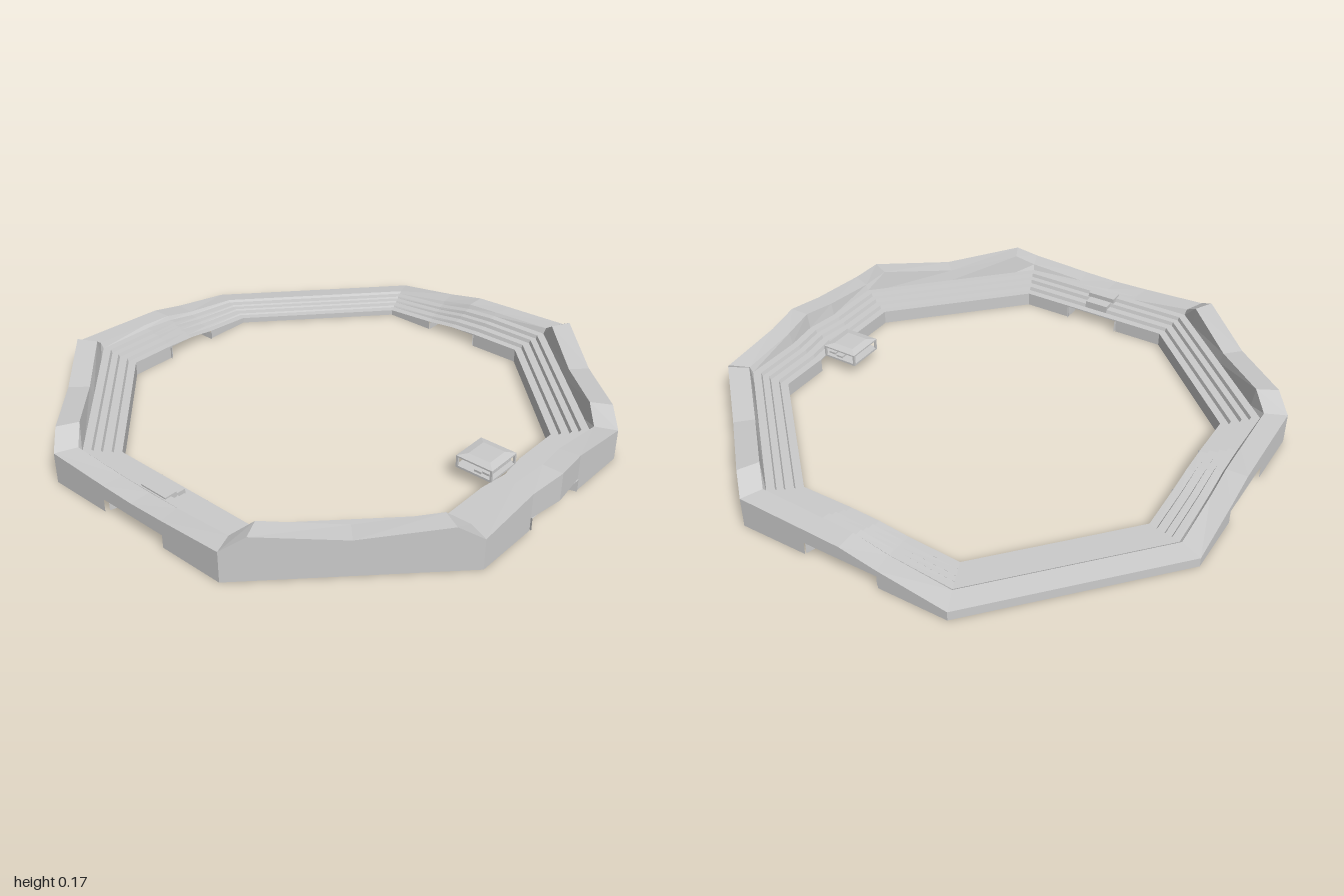
import * as THREE from 'three';

const material = new THREE.MeshStandardMaterial({ color: 0xcccccc, flatShading: true, side: THREE.DoubleSide });
const lerp = THREE.MathUtils.lerp;
const DOOR = 0.05; // clear height of the gateways

function add(parent, name, geometry, x = 0, y = 0, z = 0) {
  const mesh = new THREE.Mesh(geometry, material);
  mesh.name = name;
  mesh.position.set(x, y, z);
  parent.add(mesh);
  return mesh;
}

// Skins a list of cross-sections (arrays of [x, y, z]) with quads.
function skin(rows, closed) {
  const pos = [];
  const count = closed ? rows.length : rows.length - 1;
  for (let i = 0; i < count; i++) {
    const p = rows[i], q = rows[(i + 1) % rows.length];
    for (let j = 0; j < p.length - 1; j++) {
      pos.push(...p[j], ...q[j], ...q[j + 1], ...p[j], ...q[j + 1], ...p[j + 1]);
    }
  }
  const g = new THREE.BufferGeometry();
  g.setAttribute('position', new THREE.Float32BufferAttribute(pos, 3));
  g.computeVertexNormals();
  return g;
}

// Octagon corners, starting at the front right and running past the front.
const corners = [[-0.41, 0.98], [0.41, 0.98], [0.99, 0.4], [0.99, -0.43],
  [0.36, -1], [-0.42, -1], [-1, -0.41], [-1, 0.4]];

// Per side: [position along side, rim height, terrace height factor]
const bumpy = [[0, 0.12, 1], [0.11, 0.172, 1], [0.5, 0.14, 1], [0.89, 0.172, 1]];
const sides = [
  [[0, 0.12, 1], [0.32, 0.147, 1], [0.5, 0.16, 1], [0.68, 0.147, 1]],
  bumpy,
  [[0, 0.12, 1], [0.32, 0.11, 1], [0.5, 0.104, 0.9], [0.68, 0.075, 0.65]],
  [[0, 0.036, 0.4], [0.5, 0.036, 0.4]],
  [[0, 0.036, 0.4], [0.32, 0.075, 0.65], [0.5, 0.104, 0.9], [0.68, 0.11, 1]],
  bumpy,
  [[0, 0.12, 1], [0.32, 0.108, 1], [0.5, 0.104, 1], [0.68, 0.108, 1]],
  bumpy,
];

// Stepped seating, from the rim inwards: [radial scale, height]
const steps = [[0.91, 0.097], [0.88, 0.097], [0.875, 0.083], [0.85, 0.083],
  [0.845, 0.069], [0.815, 0.069], [0.81, 0.055], [0.78, 0.055]];

function section({ x, z, h, f }, bottom) {
  const at = (s, y) => [x * s, y, z * s];
  const crest = Math.max(h, 0.1 * f + 0.006);
  const lip = 0.055 * f;
  return [at(1, bottom), at(1, h), at(0.92, crest),
    ...steps.map(([s, y]) => at(s, y * f)), at(0.78, Math.min(bottom, lip))];
}

function arenaRing() {
  const stations = [];
  sides.forEach((side, i) => {
    const a = corners[i], b = corners[(i + 1) % 8];
    for (const [t, h, f] of side) {
      const z = lerp(a[1], b[1], t) + (i === 0 && t === 0.5 ? 0.02 : 0);
      // Even sides hold a gateway between their second and fourth stations
      const gate = i % 2 === 0 && (t === 0.32 || t === 0.5);
      stations.push({ x: lerp(a[0], b[0], t), z, h, f, gate });
    }
  });
  const pieces = [];
  stations.forEach((s, i) => {
    const bottom = s.gate ? DOOR : 0;
    const next = stations[(i + 1) % stations.length];
    pieces.push(skin([section(s, bottom), section(next, bottom)], false));
  });
  const all = pieces.flatMap((g) => Array.from(g.attributes.position.array));
  const g = new THREE.BufferGeometry();
  g.setAttribute('position', new THREE.Float32BufferAttribute(all, 3));
  g.computeVertexNormals();
  return g;
}

// Gateway passage: two gently bowed cheeks and a lintel, built facing +z.
function gateway(angle, offset, lowSide) {
  const group = new THREE.Group();
  group.name = 'gateway';
  for (const side of [-1, 1]) {
    const rows = [];
    for (let i = 0; i <= 6; i++) {
      const t = i / 6;
      const w = side * (lerp(0.145, 0.113, t) - 0.012 * Math.sin(Math.PI * t));
      const r = lerp(0.985, 0.772, t);
      const top = lerp(DOOR, side === lowSide ? 0.03 : DOOR, t);
      rows.push([[w + offset, 0, r], [w + offset, top, r]]);
    }
    add(group, 'gatewayCheek', skin(side > 0 ? rows : rows.reverse(), false));
  }
  const lintel = [[0.985, 0.145], [0.87, 0.125]].map(([r, w]) => [[w + offset, DOOR, r], [offset - w, DOOR, r]]);
  add(group, 'gatewayCeiling', skin(lintel, false));
  group.rotation.y = angle;
  return group;
}

// Small open viewing box projecting from the front stand
function viewingBox() {
  const group = new THREE.Group();
  group.name = 'viewingBox';
  add(group, 'boxFloor', new THREE.BoxGeometry(0.15, 0.008, 0.15), 0, 0.056, 0);
  for (const x of [-0.071, 0.071]) {
    for (const z of [-0.071, 0.071]) {
      add(group, 'boxPost', new THREE.BoxGeometry(0.008, 0.036, 0.008), x, 0.078, z);
    }
  }
  for (let i = 0; i < 2; i++) {
    add(group, 'boxBench', new THREE.BoxGeometry(0.13, 0.008, 0.03), 0, 0.064 + i * 0.006, 0.01 + i * 0.035);
  }
  const ring = (w, y) => [[-w, y, w], [w, y, w], [w, y, -w], [-w, y, -w]];
  const levels = [ring(0.075, 0.094), ring(0.075, 0.1), ring(0.045, 0.107), ring(0, 0.107)];
  const rows = [0, 1, 2, 3].map((c) => levels.map((level) => level[c]));
  add(group, 'boxRoof', skin(rows, true));
  group.position.set(0.004, 0, 0.697);
  return group;
}

export function createModel() {
  const model = new THREE.Group();
  model.name = 'arena';
  add(model, 'terracedStand', arenaRing());
  model.add(
    gateway(0, 0, 0),
    gateway(Math.PI / 2, 0.012, 1),
    gateway(Math.PI, 0.03, -1),
    gateway(-Math.PI / 2, 0, 0),
    viewingBox(),
  );
  // Stepped platform set into the right-hand stand
  const platform = new THREE.Group();
  platform.name = 'platform';
  add(platform, 'platformUpper', new THREE.BoxGeometry(0.05, 0.03, 0.12), -0.88, 0.088, -0.005);
  add(platform, 'platformLower', new THREE.BoxGeometry(0.05, 0.03, 0.1), -0.835, 0.07, -0.005);
  model.add(platform);
  return model;
}
